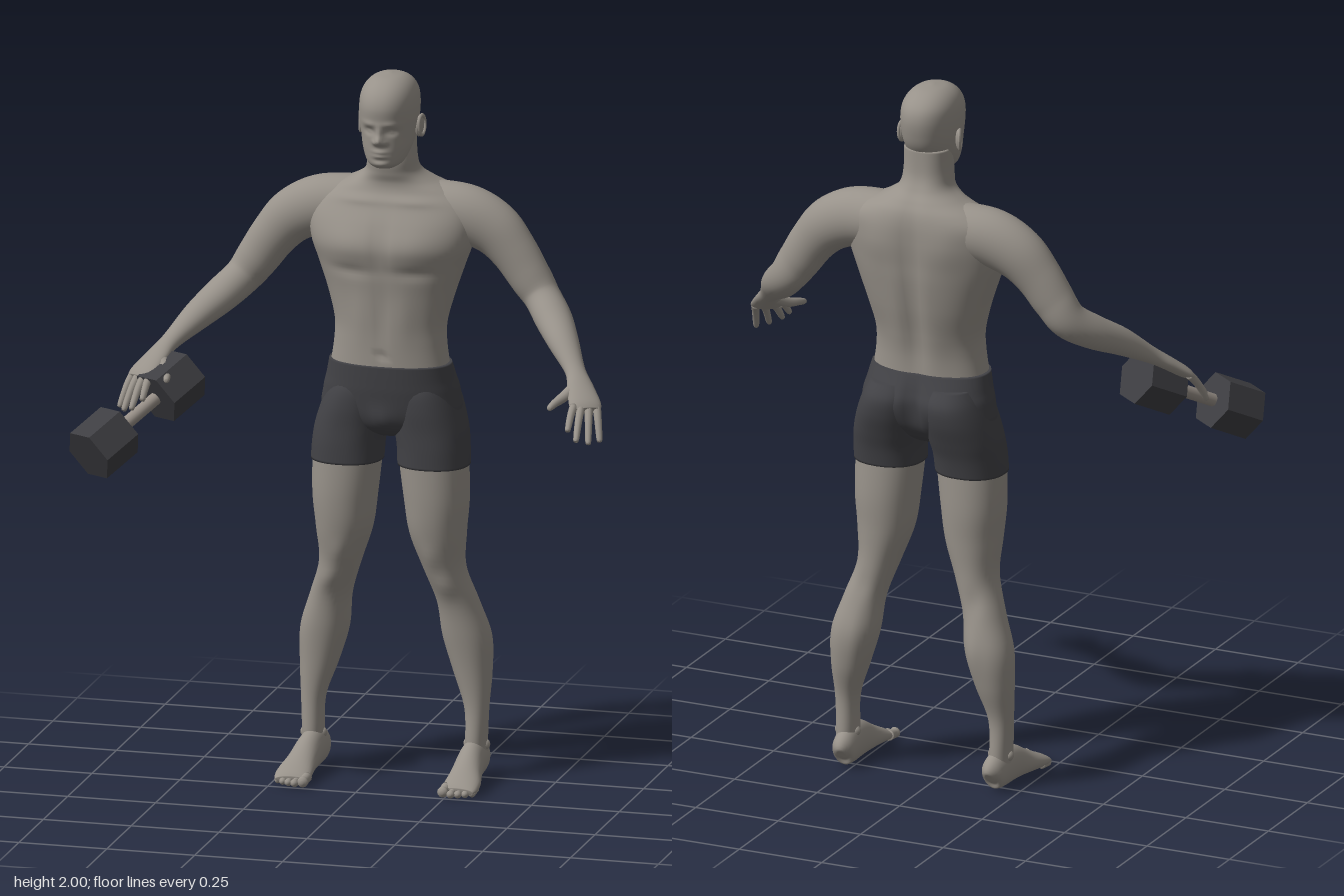
import * as THREE from 'three';

const mat = (name, color) => Object.assign(new THREE.MeshStandardMaterial({ color }), { name });
const V = (x, y, z) => new THREE.Vector3(x, y, z);

// Catmull-Rom smoothing of every column of a section table
function smooth(rows, steps) {
  const out = [];
  const last = rows.length - 1;
  for (let i = 0; i < last; i++) {
    const [a, b, c, d] = [rows[Math.max(i - 1, 0)], rows[i], rows[i + 1], rows[Math.min(i + 2, last)]];
    for (let s = 0; s < steps; s++) {
      const t = s / steps;
      out.push(b.map((_, k) => 0.5 * (2 * b[k] + (c[k] - a[k]) * t
        + (2 * a[k] - 5 * b[k] + 4 * c[k] - d[k]) * t * t
        + (3 * b[k] - a[k] - 3 * c[k] + d[k]) * t * t * t)));
    }
  }
  out.push(rows[last]);
  return out;
}

// Skin closed rings and cap both ends
function skinRings(rings) {
  const n = rings[0].length, pos = [], idx = [];
  rings.forEach(r => r.forEach(p => pos.push(p.x, p.y, p.z)));
  for (let i = 0; i < rings.length - 1; i++) {
    for (let j = 0; j < n; j++) {
      const a = i * n + j, b = i * n + (j + 1) % n;
      idx.push(a, b, a + n, b, b + n, a + n);
    }
  }
  [0, rings.length - 1].forEach(i => {
    const c = rings[i].reduce((s, p) => s.add(p), V(0, 0, 0)).divideScalar(n);
    const m = pos.length / 3;
    pos.push(c.x, c.y, c.z);
    for (let j = 0; j < n; j++) {
      const a = i * n + j, b = i * n + (j + 1) % n;
      if (i) idx.push(a, b, m); else idx.push(b, a, m);
    }
  });
  const g = new THREE.BufferGeometry();
  g.setAttribute('position', new THREE.Float32BufferAttribute(pos, 3));
  g.setIndex(idx);
  g.computeVertexNormals();
  return g;
}

// Upright form. Rows: y, centre x, half width, front z, back z.
// Bumps: x, y, x radius, y radius, depth, side (1 front, -1 back)
function loft(rows, { n = 36, steps = 5, e = 0.9, bumps = [] } = {}) {
  const pw = v => Math.sign(v) * Math.abs(v) ** e;
  return skinRings(smooth(rows, steps).map(([y, cx, hw, zf, zb]) =>
    Array.from({ length: n }, (_, j) => {
      const a = j / n * Math.PI * 2, c = Math.cos(a);
      const x = cx + hw * pw(Math.sin(a));
      let z = (zf + zb) / 2 + (zf - zb) / 2 * pw(c);
      for (const [bx, by, rx, ry, d, side] of bumps) {
        const w = Math.max(0, c * side) ** 0.5;
        z += side * w * d * Math.exp(-(((x - bx) / rx) ** 2) - ((y - by) / ry) ** 2);
      }
      return V(x, y, z);
    })));
}

// Limb along a path. Rows: x, y, z, sideways radius, upward radius
function limb(rows, n = 24, steps = 5) {
  const s = smooth(rows, steps), at = i => V(...s[i].slice(0, 3));
  return skinRings(s.map((r, i) => {
    const t = at(Math.min(i + 1, s.length - 1)).sub(at(Math.max(i - 1, 0))).normalize();
    const side = V(0, 1, 0).cross(t).normalize(), up = t.clone().cross(side);
    return Array.from({ length: n }, (_, j) => {
      const a = j / n * Math.PI * 2;
      return at(i).addScaledVector(side, r[3] * Math.cos(a)).addScaledVector(up, r[4] * Math.sin(a));
    });
  }));
}

function mirrored(g) {
  const m = g.clone().scale(-1, 1, 1), ix = m.index.array;
  for (let i = 0; i < ix.length; i += 3) [ix[i], ix[i + 1]] = [ix[i + 1], ix[i]];
  m.computeVertexNormals();
  return m;
}

export function createModel() {
  const skin = mat('skin', 0x98928a), cloth = mat('shortsCloth', 0x424246);
  const iron = mat('weightIron', 0x3e3e42), steel = mat('barSteel', 0x968e86);
  const model = new THREE.Group(), body = new THREE.Group();
  body.name = 'body';
  body.position.x = 0.045;
  model.add(body);
  const add = (name, geo, m, parent = body) => {
    const mesh = new THREE.Mesh(geo, m);
    mesh.name = name;
    parent.add(mesh);
    return mesh;
  };
  const pair = (name, geo, m) => {
    add(name + 'Left', geo, m);
    add(name + 'Right', mirrored(geo), m);
  };
  const both = list => list.flatMap(([x, ...r]) => x ? [[x, ...r], [-x, ...r]] : [[x, ...r]]);

  // Torso and neck
  add('torso', loft([
    [1.17, 0, 0.167, -0.101, -0.294], [1.24, 0, 0.157, -0.102, -0.296], [1.30, 0, 0.157, -0.102, -0.306],
    [1.38, 0, 0.178, -0.1, -0.325], [1.46, 0, 0.205, -0.093, -0.338], [1.52, 0, 0.226, -0.09, -0.342],
    [1.58, 0, 0.234, -0.108, -0.345], [1.63, 0, 0.222, -0.135, -0.345], [1.665, 0, 0.175, -0.155, -0.338],
    [1.692, 0, 0.115, -0.16, -0.322], [1.72, 0, 0.077, -0.153, -0.3], [1.76, 0, 0.068, -0.148, -0.284],
    [1.83, 0, 0.065, -0.16, -0.28],
  ], {
    n: 72, steps: 8, e: 0.87, bumps: both([
      [0.09, 1.53, 0.08, 0.055, 0.012, 1], [0, 1.53, 0.014, 0.07, -0.007, 1],
      [0.09, 1.452, 0.06, 0.016, -0.006, 1], [0, 1.32, 0.012, 0.09, -0.005, 1],
      [0.06, 1.33, 0.03, 0.08, 0.004, 1], [0, 1.215, 0.01, 0.01, -0.009, 1],
      [0.08, 1.645, 0.07, 0.012, 0.006, 1], [0, 1.42, 0.025, 0.22, -0.016, -1],
      [0.1, 1.57, 0.06, 0.07, 0.009, -1], [0.06, 1.28, 0.035, 0.08, 0.004, -1],
    ]),
  }), skin);

  // Head with modelled face
  add('head', loft([
    [1.748, 0, 0.03, -0.105, -0.18], [1.763, 0, 0.05, -0.088, -0.215], [1.80, 0, 0.066, -0.084, -0.255],
    [1.84, 0, 0.074, -0.082, -0.287], [1.88, 0, 0.079, -0.077, -0.301], [1.92, 0, 0.08, -0.074, -0.306],
    [1.952, 0, 0.075, -0.085, -0.298], [1.977, 0, 0.061, -0.108, -0.275], [1.993, 0, 0.038, -0.14, -0.243],
    [2.0, 0, 0.005, -0.185, -0.2],
  ], {
    n: 96, steps: 10, e: 0.93, bumps: both([
      [0, 1.832, 0.012, 0.012, 0.022, 1], [0, 1.852, 0.009, 0.02, 0.01, 1],
      [0.014, 1.826, 0.008, 0.007, 0.008, 1], [0.032, 1.857, 0.016, 0.01, -0.011, 1],
      [0.032, 1.856, 0.009, 0.005, 0.005, 1], [0.03, 1.878, 0.022, 0.008, 0.004, 1],
      [0, 1.799, 0.02, 0.006, 0.006, 1], [0, 1.786, 0.018, 0.006, 0.006, 1],
      [0, 1.775, 0.02, 0.006, -0.003, 1], [0, 1.763, 0.02, 0.01, 0.004, 1],
    ]),
  }), skin);

  // Ears
  const ear = new THREE.SphereGeometry(1, 16, 12).scale(0.008, 0.031, 0.018).rotateX(-0.15).rotateY(-0.35);
  pair('ear', ear.translate(0.082, 1.852, -0.2), skin);
  const rim = new THREE.TorusGeometry(0.021, 0.005, 8, 20).scale(0.75, 1.3, 1).rotateY(Math.PI / 2 - 0.35);
  pair('earRim', rim.translate(0.087, 1.853, -0.202), skin);

  // Arms: shoulder, elbow, wrist and palm in one sweep
  pair('arm', limb([
    [0.04, 1.61, -0.25, 0.07, 0.075], [0.12, 1.607, -0.248, 0.078, 0.08], [0.21, 1.597, -0.243, 0.074, 0.082],
    [0.285, 1.562, -0.24, 0.066, 0.076], [0.34, 1.505, -0.235, 0.057, 0.066], [0.385, 1.44, -0.23, 0.052, 0.06],
    [0.425, 1.385, -0.22, 0.05, 0.053], [0.472, 1.34, -0.165, 0.052, 0.048], [0.522, 1.295, -0.09, 0.043, 0.039],
    [0.575, 1.24, -0.015, 0.029, 0.024], [0.602, 1.207, 0.03, 0.037, 0.02], [0.628, 1.172, 0.075, 0.045, 0.017],
    [0.638, 1.158, 0.092, 0.04, 0.011],
  ], 32, 6), skin);

  // Fingers, index to little, then thumb
  [[0.605, 1.12, 0.168], [0.632, 1.097, 0.18], [0.66, 1.086, 0.156], [0.682, 1.085, 0.12]].forEach((tip, i) => {
    const s = (i - 1.5) * 0.022, base = [0.63 + s * 0.83, 1.168, 0.08 - s * 0.55];
    const mid = base.map((v, k) => (v + tip[k]) / 2 + (k === 1 ? 0.008 : 0));
    const end = tip.map((v, k) => v + (v - mid[k]) * 0.06);
    pair('finger' + (i + 1), limb([
      [...base, 0.012, 0.012], [...mid, 0.0105, 0.0105], [...tip, 0.008, 0.008], [...end, 0.002, 0.002],
    ], 10, 4), skin);
  });
  pair('thumb', limb([
    [0.592, 1.212, 0.025, 0.017, 0.015], [0.567, 1.187, 0.07, 0.016, 0.014], [0.552, 1.177, 0.11, 0.012, 0.011],
    [0.545, 1.17, 0.138, 0.008, 0.008], [0.544, 1.169, 0.143, 0.002, 0.002],
  ], 12, 4), skin);

  // Legs
  pair('leg', loft([
    [0.04, 0.232, 0.03, -0.2, -0.288], [0.1, 0.232, 0.03, -0.198, -0.286], [0.2, 0.232, 0.034, -0.204, -0.284],
    [0.3, 0.218, 0.054, -0.2, -0.309], [0.4, 0.202, 0.068, -0.19, -0.32], [0.5, 0.18, 0.058, -0.178, -0.303],
    [0.6, 0.148, 0.058, -0.147, -0.29], [0.7, 0.133, 0.078, -0.12, -0.291], [0.8, 0.13, 0.09, -0.109, -0.295],
    [0.92, 0.122, 0.097, -0.108, -0.291],
  ], {
    n: 40, steps: 6, e: 0.95, bumps: [
      [0.165, 0.555, 0.03, 0.03, 0.007, 1], [0.13, 0.64, 0.025, 0.035, 0.005, 1],
      [0.17, 0.54, 0.03, 0.04, -0.006, -1], [0.175, 0.4, 0.025, 0.07, 0.004, -1],
    ],
  }), skin);

  // Feet, ankle knobs and toes
  pair('foot', limb([
    [0.225, 0.04, -0.303, 0.012, 0.02], [0.226, 0.048, -0.29, 0.031, 0.045], [0.228, 0.056, -0.245, 0.036, 0.056],
    [0.23, 0.053, -0.19, 0.038, 0.053], [0.234, 0.038, -0.13, 0.043, 0.038], [0.238, 0.026, -0.08, 0.05, 0.026],
    [0.238, 0.018, -0.045, 0.05, 0.018], [0.237, 0.014, -0.028, 0.044, 0.01],
  ], 28, 5), skin);
  [-1, 1].forEach(s => pair(s < 0 ? 'innerAnkle' : 'outerAnkle',
    new THREE.SphereGeometry(0.016, 12, 10).translate(0.232 + s * 0.022, 0.095, -0.245), skin));
  [[0.199, 0.015, -0.003], [0.222, 0.011, 0], [0.241, 0.0105, -0.006], [0.259, 0.01, -0.015], [0.276, 0.0095, -0.027]]
    .forEach(([x, r, tip], i) => pair('toe' + (i + 1), limb([
      [x, r + 0.004, tip - 0.05, r, r], [x, r, tip - 0.022, r * 0.9, r * 0.9],
      [x, r, tip - 0.007, r, r], [x, r, tip, r * 0.3, r * 0.3],
    ], 12, 4), skin));

  // Shorts: hip section and two legs
  add('shortsHips', loft([
    [0.975, 0, 0.04, -0.16, -0.25], [1.0, 0, 0.13, -0.125, -0.285], [1.04, 0, 0.193, -0.108, -0.315],
    [1.1, 0, 0.191, -0.1, -0.327], [1.14, 0, 0.181, -0.098, -0.318], [1.185, 0, 0.171, -0.097, -0.299],
  ], {
    n: 64, steps: 6, e: 0.88, bumps: [
      [0, 1.03, 0.03, 0.035, 0.012, 1], [0, 1.09, 0.018, 0.07, -0.022, -1],
      [0.085, 1.09, 0.06, 0.05, 0.014, -1], [-0.085, 1.09, 0.06, 0.05, 0.014, -1],
    ],
  }), cloth);
  pair('shortsLeg', loft([
    [0.897, 0.123, 0.1, -0.104, -0.295], [0.95, 0.12, 0.1, -0.104, -0.306], [1.0, 0.112, 0.101, -0.105, -0.322],
    [1.06, 0.1, 0.095, -0.104, -0.34], [1.11, 0.09, 0.085, -0.11, -0.342], [1.15, 0.085, 0.07, -0.13, -0.318],
  ], { n: 40, steps: 6 }), cloth);

  // Dumbbell with six-sided ends
  const dumbbell = new THREE.Group();
  dumbbell.name = 'dumbbell';
  const far = V(-0.643, 1.016, 0.264), near = V(-0.51, 1.134, 0.057);
  const span = far.distanceTo(near);
  dumbbell.position.copy(far).add(near).multiplyScalar(0.5);
  dumbbell.quaternion.setFromUnitVectors(V(0, 1, 0), far.clone().sub(near).normalize());
  model.add(dumbbell);
  add('bar', new THREE.CylinderGeometry(0.018, 0.018, span, 20), steel, dumbbell);
  const head = new THREE.CylinderGeometry(0.08, 0.08, 0.125, 6).toNonIndexed();
  head.computeVertexNormals();
  [-1, 1].forEach(s => {
    add(s < 0 ? 'nearWeight' : 'farWeight', head, iron, dumbbell).position.y = s * span / 2;
  });
  return model;
}
